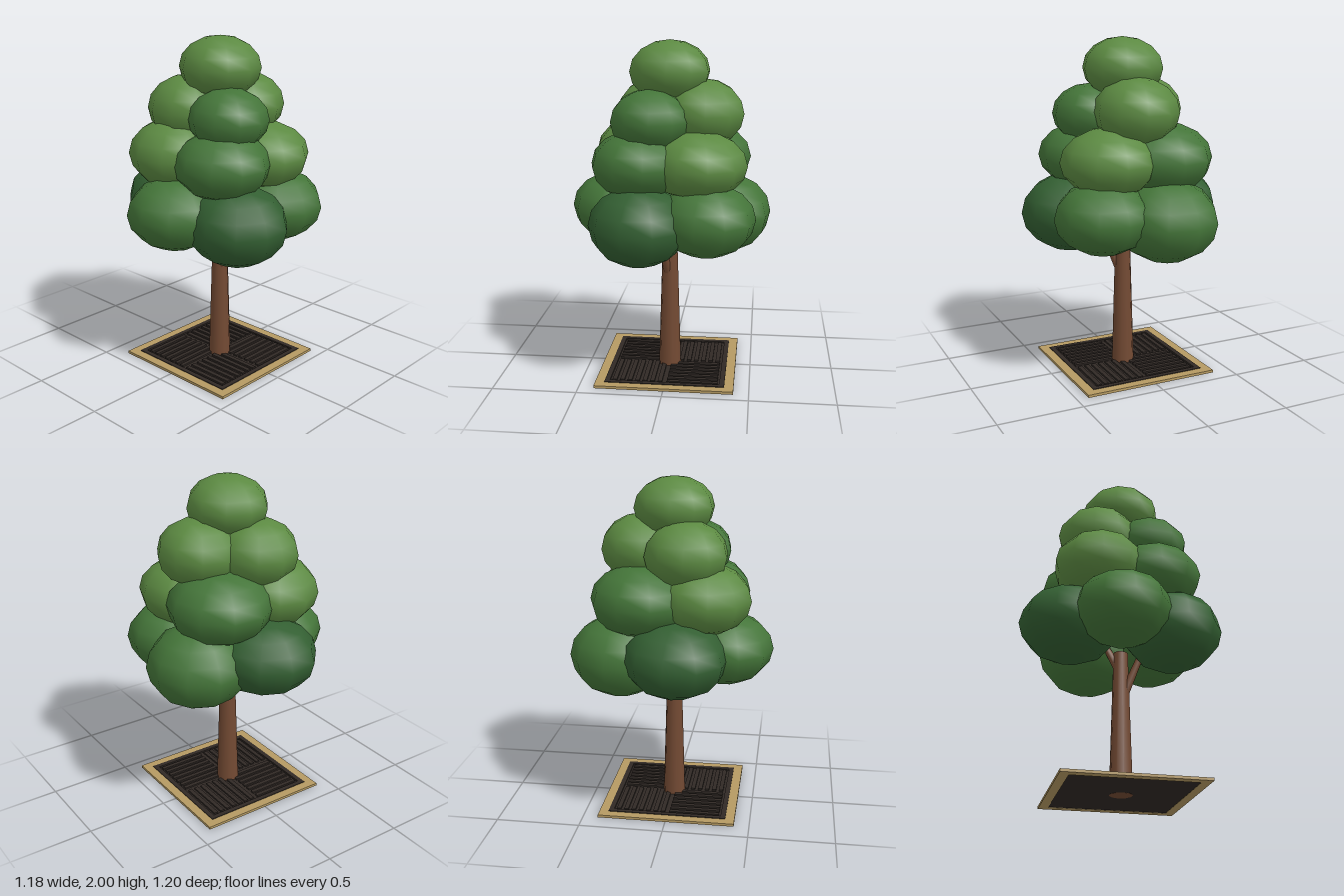
import * as THREE from 'three';

const CX = 0.022; // trunk axis

const paint = (color) => new THREE.MeshStandardMaterial({ color });

export function createModel() {
  const tree = new THREE.Group();
  tree.name = 'tree';
  const bark = paint(0x734a33);
  const iron = paint(0x302925);
  const stone = paint(0xb59a62);
  const leaves = { light: paint(0x5c8a42), mid: paint(0x447539), dark: paint(0x335f32) };

  const add = (parent, name, geometry, material, x = 0, y = 0, z = 0) => {
    const mesh = new THREE.Mesh(geometry, material);
    mesh.name = name;
    mesh.position.set(x, y, z);
    parent.add(mesh);
    return mesh;
  };

  // Square kerb around the grate
  const half = 0.41, inner = 0.355;
  const outline = new THREE.Shape([[-1, -1], [1, -1], [1, 1], [-1, 1]].map(([x, y]) => new THREE.Vector2(x * half, y * half)));
  outline.holes.push(new THREE.Path([[-1, -1], [-1, 1], [1, 1], [1, -1]].map(([x, y]) => new THREE.Vector2(x * inner, y * inner))));
  const kerb = new THREE.ExtrudeGeometry(outline, { depth: 0.016, bevelEnabled: false }).rotateX(-Math.PI / 2);
  add(tree, 'kerb', kerb, stone, CX);

  // Iron grate: backing plate, rim, and four quadrants of slats in alternating directions
  const grate = new THREE.Group();
  grate.name = 'grate';
  grate.position.x = CX;
  tree.add(grate);
  add(grate, 'gratePlate', new THREE.BoxGeometry(inner * 2, 0.008, inner * 2), iron, 0, 0.006);
  for (let i = 0; i < 4; i++) {
    const rim = add(grate, 'grateRim', new THREE.BoxGeometry(inner * 2, 0.018, 0.03).translate(0, 0, inner - 0.015), iron, 0, 0.011);
    rim.rotation.y = i * Math.PI / 2;
    const quadrant = new THREE.Group();
    quadrant.name = 'grateQuadrant';
    quadrant.rotation.y = i * Math.PI / 2;
    grate.add(quadrant);
    for (let k = 0; k < 7; k++) {
      add(quadrant, 'grateSlat', new THREE.BoxGeometry(0.3, 0.012, 0.026), iron, 0.163, 0.014, 0.028 + k * 0.045);
    }
  }

  // Tapered trunk
  const trunkHeight = 0.86;
  add(tree, 'trunk', new THREE.CylinderGeometry(0.043, 0.068, trunkHeight, 10), bark, CX, trunkHeight / 2 + 0.001);

  // Branches reaching from the trunk into the crown
  const up = new THREE.Vector3(0, 1, 0);
  const addBranch = (from, to, r0, r1) => {
    const a = new THREE.Vector3(...from), b = new THREE.Vector3(...to);
    const dir = b.clone().sub(a);
    const mesh = add(tree, 'branch', new THREE.CylinderGeometry(r1, r0, dir.length(), 8), bark);
    mesh.position.copy(a).lerp(b, 0.5);
    mesh.quaternion.setFromUnitVectors(up, dir.normalize());
  };
  addBranch([0.04, 0.6, 0.01], [0.15, 0.88, 0.05], 0.027, 0.018);
  addBranch([0.02, 0.74, 0], [-0.07, 0.93, -0.04], 0.03, 0.018);

  // Crown: overlapping flattened clumps [x, y, z, radius, half height, tone]
  const clumps = [
    [0.022, 1.82, 0, 0.24, 0.18, 'light'],
    [-0.14, 1.57, 0.09, 0.247, 0.2, 'light'],
    [0.182, 1.55, 0.1, 0.232, 0.18, 'mid'],
    [0.025, 1.58, -0.19, 0.25, 0.2, 'light'],
    [-0.145, 1.32, 0.195, 0.28, 0.21, 'light'],
    [0.195, 1.3, 0.165, 0.28, 0.2, 'mid'],
    [0.19, 1.3, -0.18, 0.285, 0.2, 'light'],
    [-0.145, 1.3, -0.165, 0.31, 0.215, 'mid'],
    [-0.035, 1.0, 0.315, 0.285, 0.215, 'mid'],
    [0.3, 0.96, 0.15, 0.295, 0.235, 'dark'],
    [0.255, 0.995, -0.235, 0.285, 0.215, 'mid'],
    [-0.12, 0.955, -0.3, 0.305, 0.245, 'mid'],
    [-0.295, 0.995, 0.05, 0.305, 0.225, 'dark'],
  ];
  const crown = new THREE.Group();
  crown.name = 'crown';
  tree.add(crown);
  const ball = new THREE.SphereGeometry(1, 10, 8);
  clumps.forEach(([x, y, z, r, h, tone], i) => {
    const clump = add(crown, 'leafClump', ball, leaves[tone], x, y, z);
    clump.scale.set(r, h, r);
    clump.rotation.y = i * 1.3;
  });

  return tree;
}
